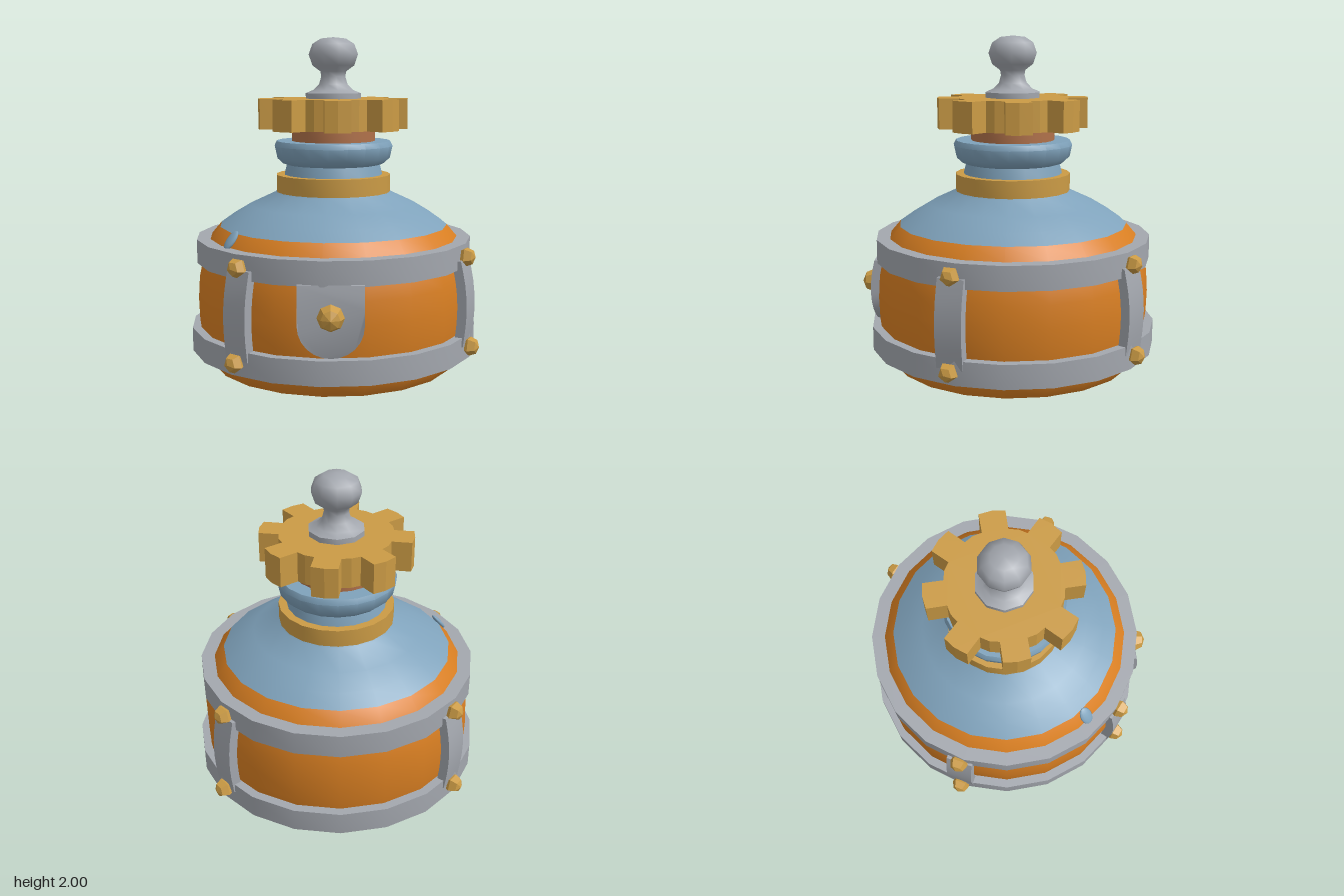
import * as THREE from 'three';
import { toCreasedNormals } from 'three/addons/utils/BufferGeometryUtils.js';

const mat = (name, color, extra = {}) => {
  const m = new THREE.MeshStandardMaterial({ color, ...extra });
  m.name = name;
  return m;
};

export function createModel() {
  const root = new THREE.Group();
  root.name = 'potionBottle';
  const bottle = new THREE.Group();
  bottle.name = 'bottle';
  bottle.position.z = -0.012;
  root.add(bottle);

  const liquid = mat('orangeLiquid', 0xd97f22);
  const glass = mat('blueGlass', 0x7fa2bb);
  const steel = mat('greySteel', 0xa3a7ae);
  const brass = mat('brass', 0xcb9b45);
  const brassFlat = brass;
  const cork = mat('cork', 0xb0714a);

  const add = (name, geo, material, parent = bottle) => {
    const m = new THREE.Mesh(geo, material);
    m.name = name;
    parent.add(m);
    return m;
  };
  // Turned part: profile of [radius, height], bottom to top
  const turn = (profile, sides = 20, crease = 0.7) => toCreasedNormals(
    new THREE.LatheGeometry(profile.map(([r, y]) => new THREE.Vector2(r, y)), sides), crease);
  const ring = (ri, ro, y0, y1) => turn([[ro, y0], [ro, y1], [ri, y1], [ri, y0], [ro, y0]]);

  // Liquid-filled belly
  add('liquidBelly', turn([[0, 0], [0.45, 0.003], [0.62, 0.012], [0.73, 0.05], [0.775, 0.125],
    [0.798, 0.22], [0.815, 0.34], [0.82, 0.47], [0.812, 0.6], [0.785, 0.73], [0.745, 0.82],
    [0.685, 0.89]]), liquid);

  // Glass shoulder, neck and lip
  add('glassShoulderAndNeck', turn([[0.685, 0.89], [0.6, 0.95], [0.5, 1.01], [0.35, 1.08],
    [0.31, 1.12], [0.295, 1.19], [0.28, 1.25], [0.305, 1.258], [0.34, 1.29], [0.355, 1.36],
    [0.34, 1.39], [0, 1.39]]), glass);

  // Small glint on the shoulder
  const glint = add('glassGlint', new THREE.SphereGeometry(1, 12, 8), glass);
  glint.scale.set(0.04, 0.065, 0.015);
  glint.position.set(-0.66, 0.86, 0.29);
  glint.lookAt(new THREE.Vector3(-1.26, 1.4, 0.55));

  // Metal hoops and brass collar
  add('lowerHoop', ring(0.785, 0.86, 0.15, 0.29), steel);
  add('upperHoop', ring(0.74, 0.825, 0.68, 0.82), steel);
  add('neckCollar', ring(0.285, 0.343, 1.08, 1.19), brass);

  // Faceted rivet with its axis along +z
  const rivet = (r, sides) => {
    const g = new THREE.SphereGeometry(r, sides, 4).rotateX(Math.PI / 2);
    if (sides === 5) g.rotateZ(Math.PI / 2);
    return toCreasedNormals(g, 0.1);
  };

  // Bowed straps with a rivet at each end
  const strapCurve = new THREE.CatmullRomCurve3(
    [[0.852, 0.235], [0.866, 0.35], [0.871, 0.47], [0.86, 0.6], [0.832, 0.735]]
      .map(([r, y]) => new THREE.Vector3(0, y, r)));
  const strapGeometry = () => {
    const g = new THREE.BoxGeometry(0.16, 1, 0.055, 1, 8, 1);
    const p = g.attributes.position;
    for (let i = 0; i < p.count; i++) {
      const c = strapCurve.getPoint(p.getY(i) + 0.5);
      p.setXYZ(i, p.getX(i), c.y, c.z + p.getZ(i) - 0.0275);
    }
    return toCreasedNormals(g, 0.7);
  };
  const a = THREE.MathUtils.degToRad(51.8);
  [a, -a, Math.PI - a, Math.PI + a].forEach((angle, i) => {
    const strap = new THREE.Group();
    strap.name = 'strap' + (i + 1);
    strap.rotation.y = angle;
    bottle.add(strap);
    add('strapBar', strapGeometry(), steel, strap);
    add('lowerRivet', rivet(0.058, 5), brassFlat, strap).position.set(0, 0.225, 0.868);
    add('upperRivet', rivet(0.058, 5), brassFlat, strap).position.set(0, 0.75, 0.836);
  });

  // Tongue-shaped front plate, bent to the belly
  const plate = new THREE.Group();
  plate.name = 'frontPlate';
  plate.rotation.y = THREE.MathUtils.degToRad(-14.4);
  bottle.add(plate);
  const outline = [[0.18, 0.69]];
  for (let i = 0; i <= 4; i++) outline.push([0.18, 0.64 - i * 0.04]);
  for (let i = 1; i <= 12; i++) {
    const t = (i / 12) * Math.PI;
    outline.push([0.18 * Math.cos(t), 0.48 - 0.19 * Math.sin(t)]);
  }
  for (let i = 1; i <= 4; i++) outline.push([-0.18, 0.48 + i * 0.04]);
  outline.push([-0.18, 0.69]);
  const tongue = new THREE.ExtrudeGeometry(
    new THREE.Shape(outline.map(([x, y]) => new THREE.Vector2(x, y)).reverse()),
    { depth: 0.06, bevelEnabled: false });
  const tp = tongue.attributes.position;
  for (let i = 0; i < tp.count; i++) {
    tp.setZ(i, tp.getZ(i) + 0.785 - 0.7 * (tp.getY(i) - 0.5) ** 2);
  }
  add('plateTongue', toCreasedNormals(tongue, 0.6), steel, plate);
  add('plateRivet', rivet(0.075, 8), brassFlat, plate).position.set(0, 0.52, 0.842);

  // Stopper
  add('corkStopper', turn([[0.25, 1.38], [0.25, 1.47]]), cork);

  // Eight-toothed gear
  const gearPoints = [];
  for (let i = 0; i < 8; i++) {
    const mid = THREE.MathUtils.degToRad(80 + i * 45);
    [[-22.5, 0.335], [-13, 0.33], [-9.8, 0.443], [0, 0.447], [9.8, 0.443], [13, 0.33]].forEach(([d, r]) => {
      const t = mid + THREE.MathUtils.degToRad(d);
      gearPoints.push(new THREE.Vector2(r * Math.cos(t), r * Math.sin(t)));
    });
  }
  const gear = new THREE.ExtrudeGeometry(new THREE.Shape(gearPoints), { depth: 0.18, bevelEnabled: false });
  add('gear', gear.rotateX(-Math.PI / 2), brass).position.y = 1.46;

  // Knob handle
  add('knob', turn([[0.165, 1.63], [0.165, 1.672], [0.12, 1.69], [0.085, 1.725], [0.072, 1.77],
    [0.077, 1.80], [0.125, 1.835], [0.147, 1.9], [0.125, 1.96], [0.075, 1.992], [0, 2]], 10, 0.95), steel);

  return root;
}
